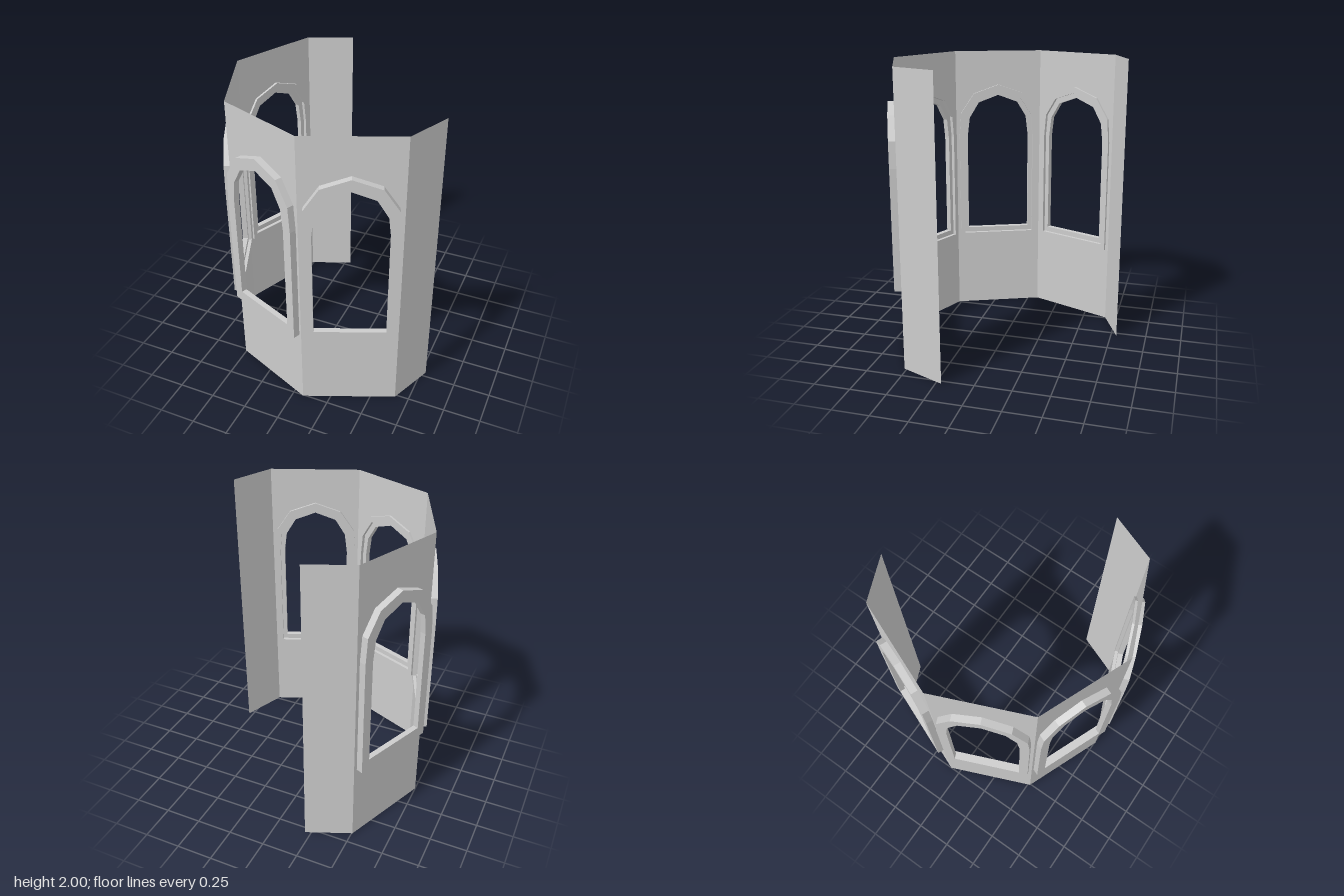
import * as THREE from 'three';

// Plan corners of the bay (x, z), in order around the outside
const CORNERS = [
  [-0.21, -0.79], [-0.506, -0.667], [-0.75, -0.074], [-0.506, 0.517],
  [0.074, 0.757], [0.658, 0.517], [0.783, 0.213],
];
const HEIGHT = 2;

// Half outlines of the pointed arch (u, y), from apex down to sill
const OUTER = [[0, 1.75], [0.185, 1.685], [0.283, 1.54], [0.297, 1.37], [0.297, 0.55]];
const REBATE = [[0, 1.71], [0.168, 1.65], [0.25, 1.52], [0.264, 1.365], [0.264, 0.59]];
const OPENING = [[0, 1.67], [0.147, 1.615], [0.217, 1.5], [0.234, 1.36], [0.234, 0.626]];

// Mirror a half outline into a closed, counter-clockwise list of points
function archPoints(half) {
  const left = half.map(([u, y]) => new THREE.Vector2(-u, y));
  const right = half.slice(1).reverse().map(([u, y]) => new THREE.Vector2(u, y));
  return [...left, ...right];
}

// Arch-shaped ring between two outlines, from depth z0 to z1
function ring(outer, inner, z0, z1) {
  const shape = new THREE.Shape(archPoints(outer));
  shape.holes.push(new THREE.Path(archPoints(inner)));
  const geometry = new THREE.ExtrudeGeometry(shape, { depth: z1 - z0, bevelEnabled: false });
  return geometry.translate(0, 0, z0);
}

export function createModel() {
  const model = new THREE.Group();
  const wallMaterial = new THREE.MeshStandardMaterial({
    color: 0xcccccc, flatShading: true, side: THREE.DoubleSide,
  });
  const frameMaterial = new THREE.MeshStandardMaterial({ color: 0xcccccc, flatShading: true });

  const frameGeometry = ring(OUTER, OPENING, 0.008, 0.046);
  const innerTrimGeometry = ring(OUTER, REBATE, -0.016, 0.008);

  for (let i = 0; i < CORNERS.length - 1; i++) {
    const [x0, z0] = CORNERS[i];
    const [x1, z1] = CORNERS[i + 1];
    const half = Math.hypot(x1 - x0, z1 - z0) / 2;
    const hasWindow = i > 0 && i < CORNERS.length - 2;

    // Each bay is built flat, facing +z, then turned into place
    const bay = new THREE.Group();
    bay.name = hasWindow ? 'windowBay' : 'endBay';
    bay.position.set((x0 + x1) / 2, 0, (z0 + z1) / 2);
    bay.rotation.y = Math.atan2(z0 - z1, x1 - x0);
    model.add(bay);

    // Thin wall sheet, pierced where a window sits
    const sheet = new THREE.Shape([
      new THREE.Vector2(-half, 0), new THREE.Vector2(half, 0),
      new THREE.Vector2(half, HEIGHT), new THREE.Vector2(-half, HEIGHT),
    ]);
    if (hasWindow) sheet.holes.push(new THREE.Path(archPoints(OUTER)));
    const wall = new THREE.Mesh(new THREE.ShapeGeometry(sheet), wallMaterial);
    wall.name = 'wall';
    bay.add(wall);

    // Arched frame outside, wider rebated trim inside
    if (hasWindow) {
      const frame = new THREE.Mesh(frameGeometry, frameMaterial);
      frame.name = 'windowFrame';
      const trim = new THREE.Mesh(innerTrimGeometry, frameMaterial);
      trim.name = 'innerTrim';
      bay.add(frame, trim);
    }
  }
  return model;
}
